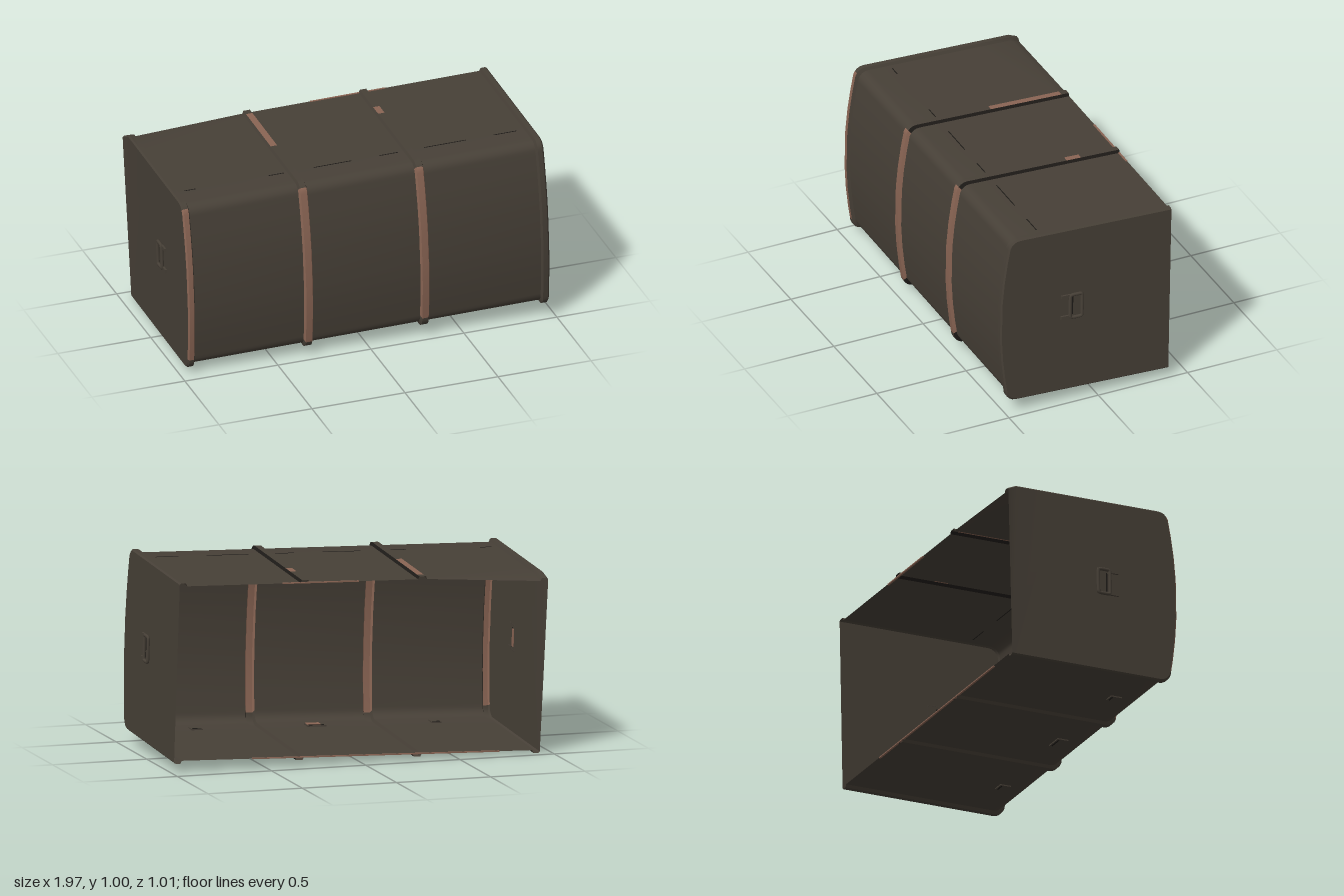
import * as THREE from 'three';
import { toCreasedNormals } from 'three/addons/utils/BufferGeometryUtils.js';

const HALF_X = 0.963, HALF_Y = 0.45, BACK = -0.45;

const material = (name, color) => {
  const m = new THREE.MeshStandardMaterial({ color, side: THREE.DoubleSide });
  m.name = name;
  return m;
};

// Cross-section from the bottom back edge, round the bulging front, to the top back edge: [y, z]
function makeProfile() {
  const bottom = [BACK, -0.41, -0.24, -0.16, -0.02, 0.2, 0.38].map((z) => [-HALF_Y, z]);
  const r = 0.055, half = [...bottom];
  for (let i = 1; i <= 5; i++) {
    const a = (i / 5) * Math.PI / 2;
    half.push([-HALF_Y + r * (1 - Math.cos(a)), 0.38 + r * Math.sin(a)]);
  }
  for (const y of [-0.33, -0.22, -0.1]) half.push([y, 0.435 + 0.037 * (1 - (y / 0.395) ** 2)]);
  return [...half, ...half.slice().reverse().map(([y, z]) => [-y, z])];
}

// The worn back corner is bent slightly outwards
function bend(p) {
  if (p.x < -0.9 && p.y > 0.4 && p.z < -0.44) p.add(new THREE.Vector3(-0.012, -0.025, -0.012));
  return p;
}

// Sheet shell: the profile swept along x, raised at four bands
function makeShell(profile) {
  const stations = [[-HALF_X, 0.008], [-0.955, 0.015], [-0.93, 0.015], [-0.922, 0]];
  for (const c of [-0.317, 0.303]) {
    stations.push([c - 0.024, 0], [c - 0.017, 0.015], [c + 0.017, 0.015], [c + 0.024, 0]);
  }
  stations.push([0.922, 0], [0.93, 0.015], [0.955, 0.015], [HALF_X, 0.008]);

  const point = ([x, rise], [y, z]) => bend(new THREE.Vector3(
    x, y * (1 + rise / HALF_Y), z > 0 ? z * (1 + rise / 0.46) : z));

  // 0 body, 1 worn paint, 2 dark seam
  const pick = (i, y, z) => {
    const onFront = z > 0.42;
    if (i <= 1 && onFront && y > -0.4) return 1;
    if (i >= 4 && i <= 6 && onFront && y > -0.41) return 1;
    if (i >= 8 && i <= 10 && onFront && y > -0.39) return 1;
    if (y > 0.4 && i === 5 && z > -0.41 && z < -0.02) return 1;
    if (y > 0.4 && i === 9 && z > -0.24 && z < -0.16) return 1;
    if ((i === 6 || i === 10) && Math.abs(y) > 0.4) return 2;
    return 0;
  };

  const pos = [], geometry = new THREE.BufferGeometry();
  for (let i = 0; i < stations.length - 1; i++) {
    for (let j = 0; j < profile.length - 1; j++) {
      const a = point(stations[i], profile[j]), b = point(stations[i + 1], profile[j]);
      const c = point(stations[i + 1], profile[j + 1]), d = point(stations[i], profile[j + 1]);
      const y = (profile[j][0] + profile[j + 1][0]) / 2, z = (profile[j][1] + profile[j + 1][1]) / 2;
      geometry.addGroup(pos.length / 3, 6, pick(i, y, z));
      for (const p of [a, b, c, a, c, d]) pos.push(p.x, p.y, p.z);
    }
  }
  geometry.setAttribute('position', new THREE.Float32BufferAttribute(pos, 3));
  geometry.computeVertexNormals();
  return toCreasedNormals(geometry, 0.6);
}

// Flat end wall filling the profile
function makeEnd(profile, side) {
  const k = 1 + 0.008 / HALF_Y;
  const shape = new THREE.Shape(profile.map(([y, z]) =>
    new THREE.Vector2(-side * (z > 0 ? z * (1 + 0.008 / 0.46) : z), y * k)));
  const g = new THREE.ShapeGeometry(shape).rotateY(side * Math.PI / 2).translate(side * HALF_X, 0, 0);
  const p = g.attributes.position, v = new THREE.Vector3();
  for (let i = 0; i < p.count; i++) {
    bend(v.fromBufferAttribute(p, i));
    p.setXYZ(i, v.x, v.y, v.z);
  }
  g.computeVertexNormals();
  return g;
}

export function createModel() {
  const body = material('dark olive sheet', 0x474037);
  const worn = material('worn brown paint', 0x8a6554);
  const seam = material('dark seam', 0x1e1b18);

  const model = new THREE.Group();
  model.name = 'chestShell';
  const add = (parent, name, geometry, mat, x = 0, y = 0, z = 0) => {
    const mesh = new THREE.Mesh(geometry, mat);
    mesh.name = name;
    mesh.position.set(x, y, z);
    parent.add(mesh);
    return mesh;
  };
  const box = (w, h, d) => new THREE.BoxGeometry(w, h, d);

  const profile = makeProfile();
  add(model, 'shellWithBands', makeShell(profile), [body, worn, seam]);

  for (const side of [1, -1]) {
    const label = side > 0 ? 'left' : 'right';
    add(model, label + 'End', makeEnd(profile, side), body);

    // Carrying handle: closed ring held by two straps
    const handle = new THREE.Group();
    handle.name = label + 'Handle';
    handle.position.set(side * HALF_X, 0.02, 0.07);
    const ring = [[-0.055, -0.03], [-0.065, -0.02], [-0.065, 0.025], [-0.055, 0.035],
      [0.055, 0.035], [0.065, 0.025], [0.065, -0.02], [0.055, -0.03]]
      .map(([y, z]) => new THREE.Vector3(side * 0.008, y, z));
    const path = new THREE.CatmullRomCurve3(ring, true, 'catmullrom', 0.3);
    add(handle, 'ring', new THREE.TubeGeometry(path, 48, 0.009, 8, true), body);
    for (const y of [-0.06, 0.06]) {
      add(handle, 'strap', box(0.012, 0.018, 0.05), body, side * 0.004, y, 0.06);
    }
    add(handle, 'recess', box(0.004, 0.1, 0.006), seam, side * 0.001, 0, 0.02);
    if (side < 0) add(handle, 'wornPatch', box(0.004, 0.09, 0.025), worn, 0.003, 0, 0);
    model.add(handle);
  }

  // Broken lid seam along the top
  for (const [x, w] of [[-0.86, 0.06], [-0.4, 0.08], [-0.1, 0.2], [0.2, 0.1], [0.5, 0.22], [0.82, 0.12]]) {
    add(model, 'lidSeam', box(w, 0.003, 0.005), seam, x, HALF_Y, 0.26);
  }

  // Latch remains on the underside, the middle one worn bare
  for (const [x, w] of [[0.63, 0.06], [0, 0.1], [-0.63, 0.05]]) {
    add(model, 'latchPlate', box(w, 0.012, 0.06), body, x, -HALF_Y, 0.29);
    add(model, 'latchGap', box(w * 0.8, 0.016, 0.008), seam, x, -HALF_Y, 0.27);
  }
  add(model, 'latchWornPatch', box(0.07, 0.006, 0.04), worn, 0.01, -HALF_Y + 0.006, 0.3);

  // Bare metal on the open rim
  add(model, 'bottomRimWear', box(1.3, 0.006, 0.01), worn, -0.1, -HALF_Y, BACK + 0.004);
  add(model, 'topRimWear', box(0.4, 0.006, 0.01), worn, 0.22, HALF_Y, BACK + 0.004);

  // The chest sits slightly askew
  model.rotation.set(-0.03, -0.026, 0.023);
  model.position.set(0, 0.5, 0.012);
  const root = new THREE.Group();
  root.name = 'chest';
  root.add(model);
  return root;
}
